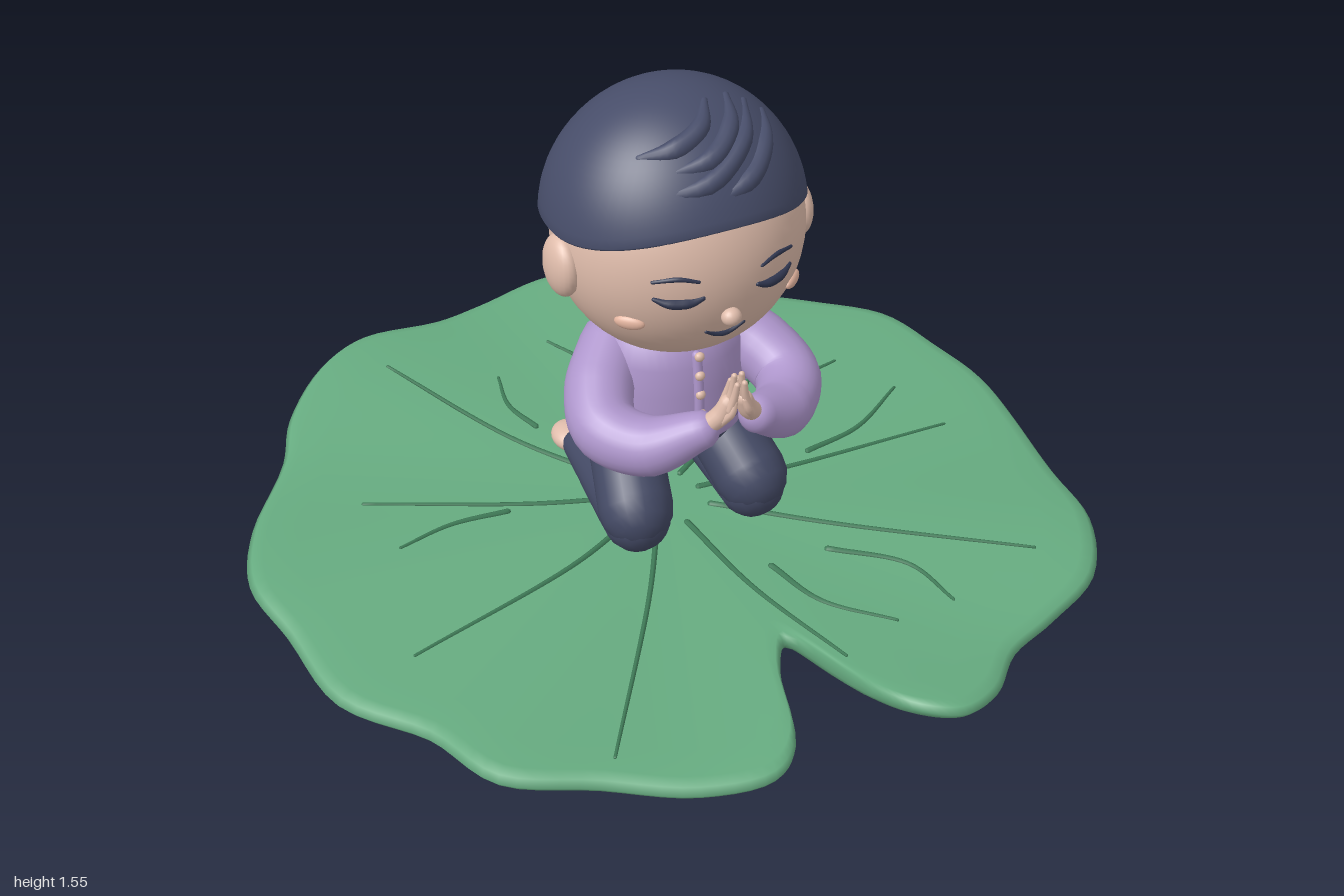
import * as THREE from 'three';
import { mergeVertices } from 'three/addons/utils/BufferGeometryUtils.js';

const V = (a) => new THREE.Vector3(...a);
const { lerp } = THREE.MathUtils;

// Smooth skin over rows of closed loops; at(i, j) gives each corner
function skinRows(rows, cols, at) {
  const pos = [], idx = [];
  for (let i = 0; i < rows; i++) for (let j = 0; j < cols; j++) pos.push(...at(i, j).toArray());
  for (let i = 0; i < rows - 1; i++) for (let j = 0; j < cols; j++) {
    const k = (j + 1) % cols, a = i * cols + j, b = i * cols + k, c = a + cols, d = b + cols;
    idx.push(a, b, c, b, d, c);
  }
  let g = new THREE.BufferGeometry();
  g.setAttribute('position', new THREE.Float32BufferAttribute(pos, 3));
  g.setIndex(idx);
  g = mergeVertices(g, 1e-5);
  g.computeVertexNormals();
  return g;
}

// Round limb along a curve, with varying radius and rounded ends
function limb(points, radii, n = 16, cols = 16) {
  const curve = new THREE.CatmullRomCurve3(points.map(V));
  const f = curve.computeFrenetFrames(n), K = 4, rings = [];
  const radius = (u) => {
    const t = u * (radii.length - 1), i = Math.min(Math.floor(t), radii.length - 2);
    return lerp(radii[i], radii[i + 1], t - i);
  };
  const cap = (i, a, sign) => rings.push({ i, r: radius(i / n) * Math.cos(a), push: sign * radius(i / n) * Math.sin(a) });
  for (let k = 0; k < K; k++) cap(0, Math.PI / 2 * (1 - k / K), -1);
  for (let i = 0; i <= n; i++) cap(i, 0, 1);
  for (let k = 1; k <= K; k++) cap(n, Math.PI / 2 * k / K, 1);
  return skinRows(rings.length, cols, (row, j) => {
    const { i, r, push } = rings[row], a = j / cols * Math.PI * 2;
    return curve.getPointAt(i / n).addScaledVector(f.tangents[i], push)
      .addScaledVector(f.normals[i], r * Math.cos(a)).addScaledVector(f.binormals[i], r * Math.sin(a));
  });
}

function ball(center, radii, seg = 32) {
  return new THREE.SphereGeometry(1, seg, Math.round(seg * 0.7)).scale(...radii).translate(...center);
}

// Height of the leaf's upper face
function leafTop(x, z) {
  const a = Math.atan2(x, z), r = Math.hypot(x, z), s = Math.sin(a);
  const rim = 0.035 - 0.045 * s * s - 0.008 * s + 0.012 * Math.sin(7 * a + 1) - 0.008 * Math.cos(a);
  return 0.412 + rim * r * r;
}

// Front of the head at a given x, y
const HEAD = [0, 1.222, 0.06], HEAD_R = [0.287, 0.29, 0.267];
const faceZ = (x, y) => HEAD[2] + HEAD_R[2] * Math.sqrt(Math.max(0, 1 - (x / HEAD_R[0]) ** 2 - ((y - HEAD[1]) / HEAD_R[1]) ** 2));
const onFace = (pts) => pts.map(([x, y]) => [x, y, faceZ(x, y)]);

export function createModel() {
  const model = new THREE.Group(), figure = new THREE.Group(), leaf = new THREE.Group();
  leaf.name = 'lilyPad';
  figure.name = 'kneelingChild';
  figure.position.x = 0.013;
  model.add(leaf, figure);

  const paint = (name, color) => Object.assign(new THREE.MeshStandardMaterial({ color }), { name });
  const green = paint('leaf green', 0x66ab80), veinGreen = paint('vein green', 0x3f7a57);
  const skin = paint('skin', 0xdfbcab), hairBlue = paint('hair navy', 0x474d69);
  const trouser = paint('trouser navy', 0x434964), lavender = paint('lavender shirt', 0xae96cc);
  const seam = paint('dark lavender', 0x7d6a98), blush = paint('blush', 0xe3b49f), lash = paint('lash navy', 0x30364f);
  const add = (parent, name, geometry, material) => {
    const m = new THREE.Mesh(geometry, material);
    m.name = name;
    parent.add(m);
    return m;
  };

  // Leaf blade: wavy notched outline, domed below, nearly flat above
  const outline = [[0.035, 0.59], [0.125, 0.82], [0.19, 0.92], [0.275, 0.965], [0.375, 0.93], [0.485, 0.83], [0.62, 0.775],
    [0.79, 0.69], [0.91, 0.5], [0.945, 0.295], [0.985, 0.05], [0.99, -0.11], [0.95, -0.27], [0.895, -0.465], [0.75, -0.605],
    [0.59, -0.72], [0.47, -0.855], [0.27, -0.945], [0.085, -0.975], [-0.105, -0.935], [-0.24, -0.905], [-0.45, -0.9],
    [-0.585, -0.83], [-0.72, -0.68], [-0.785, -0.535], [-0.935, -0.305], [-1, -0.11], [-0.97, 0.08], [-0.935, 0.32],
    [-0.8, 0.52], [-0.72, 0.72], [-0.53, 0.82], [-0.345, 0.925], [-0.185, 0.957], [-0.105, 0.89], [-0.025, 0.67]];
  const edge = new THREE.CatmullRomCurve3(outline.map(([x, z]) => V([x, 0, z])), true).getPoints(180).slice(0, 180);
  const steps = [0, 0.15, 0.3, 0.45, 0.6, 0.75, 0.88, 0.96];
  const rows = [...steps.map((s) => [s, 0]), [0.987, 0.15], [1, 0.5], [0.987, 0.87], ...steps.slice().reverse().map((s) => [s, 1])];
  add(leaf, 'leafBlade', skinRows(rows.length, edge.length, (i, j) => {
    const [s, side] = rows[i], x = edge[j].x * s, z = edge[j].z * s, top = leafTop(x, z);
    return V([x, lerp(lerp(0.29, top - 0.042, s * s), top, side), z]);
  }), green);

  // Veins: main ribs from the middle, then short side arcs
  const ribs = [[0.33, 0.03, 0.785, 0.03], [0.1, -0.32, 0.2, -0.845], [-0.24, -0.35, -0.43, -0.745], [-0.29, -0.1, -0.665, -0.275],
    [-0.29, 0.145, -0.735, 0.27], [-0.18, 0.32, -0.47, 0.765], [0.045, 0.4, 0.12, 0.705], [0.32, 0.27, 0.71, 0.56], [0.27, -0.19, 0.555, -0.49]]
    .map(([a, b, c, d]) => [[a * 0.3, b * 0.3], [a, b], [c, d]]);
  const arcs = [[[-0.17, -0.375], [-0.2, -0.48], [-0.18, -0.6]], [[0.065, -0.44], [0.06, -0.56], [0, -0.695]],
    [[0.35, -0.175], [0.49, -0.27], [0.655, -0.31]], [[0.41, -0.005], [0.57, -0.04], [0.74, -0.145]],
    [[-0.36, -0.1], [-0.5, -0.11], [-0.64, -0.08]], [[0.12, 0.35], [0.165, 0.51], [0.29, 0.64]], [[0.27, 0.35], [0.415, 0.48], [0.445, 0.63]]];
  for (const v of [...ribs, ...arcs])
    add(leaf, 'vein', limb(v.map(([x, z]) => [x, leafTop(x, z) + 0.001, z]), [0.008, 0.006, 0.004], 20, 6), veinGreen);

  // Stem with a swollen joint under the leaf
  add(leaf, 'stem', limb([[-0.079, 0.022, -0.022], [-0.05, 0.11, -0.005], [-0.026, 0.2, 0.01], [-0.008, 0.25, 0.018], [0.008, 0.3, 0.025]],
    [0.022, 0.027, 0.031, 0.034, 0.018, 0.04, 0.03], 24), green);

  // Head, nose and mouth
  add(figure, 'head', ball(HEAD, HEAD_R, 48), skin);
  add(figure, 'nose', ball([0, 1.137, 0.325], [0.023, 0.021, 0.021], 20), skin);
  add(figure, 'mouth', limb(onFace([[-0.045, 1.092], [-0.02, 1.078], [0.01, 1.076], [0.045, 1.094]]), [0.004, 0.008, 0.004], 12, 8), lash);

  // Hair cap: dome with an arched hairline and a flared nape
  const hairC = [0, 1.25, 0.035], hairR = [0.299, 0.305, 0.282];
  const N = 20, cols = 72;
  add(figure, 'hair', skinRows(N + 3, cols, (i, j) => {
    const a = j / cols * Math.PI * 2, c = Math.cos(a), s = Math.sin(a);
    const low = 1.277 + (c > 0 ? 0.07 : -0.05) * c * c;
    const t0 = Math.asin((low - hairC[1]) / hairR[1]);
    const t = lerp(t0, Math.PI / 2, Math.max(0, i - 2) / N);
    const k = i === 0 ? 0.82 : i === 1 ? 0.985 : 1;
    const flare = 1 + (c < 0 ? 0.035 * c * c : 0.02 * c) * Math.cos(t) ** 6;
    const y = i < 2 ? low + (i ? -0.006 : 0.005) : hairC[1] + hairR[1] * Math.sin(t);
    return V([hairR[0] * Math.cos(t) * s * k * flare, y, hairC[2] + hairR[2] * Math.cos(t) * c * k * flare]);
  }), hairBlue);

  // Swept locks across the fringe
  const hairZ = (x, y) => hairC[2] + hairR[2] * Math.sqrt(Math.max(0, 1 - (x / hairR[0]) ** 2 - ((y - hairC[1]) / hairR[1]) ** 2));
  const locks = [[[-0.14, 1.41], [-0.02, 1.43], [0.09, 1.48], [0.14, 1.51]], [[-0.1, 1.45], [0, 1.47], [0.07, 1.505], [0.1, 1.53]],
    [[-0.03, 1.39], [0.08, 1.42], [0.15, 1.46], [0.18, 1.48]], [[-0.14, 1.475], [-0.07, 1.49], [0.0, 1.515], [0.04, 1.54]]];
  for (const l of locks)
    add(figure, 'hairLock', limb(l.map(([x, y]) => [x, y, hairZ(x, y) - 0.012]), [0.008, 0.024, 0.022, 0.008], 16, 12), hairBlue);

  // Shirt body and collar
  const shirt = [[0, 0.69], [0.9, 0.685], [1, 0.695], [1, 0.74], [0.97, 0.83], [0.93, 0.9], [0.82, 0.955], [0.6, 0.985], [0, 0.99]];
  add(figure, 'shirt', new THREE.LatheGeometry(shirt.map((p) => new THREE.Vector2(...p)), 48).scale(0.188, 1, 0.17).translate(0, 0, 0.01), lavender);
  const collar = new THREE.TorusGeometry(0.125, 0.022, 10, 36).rotateX(Math.PI / 2).translate(0, 0.965, 0.015);
  add(figure, 'collar', collar, lavender);
  add(figure, 'placket', limb([[0, 0.7, 0.181], [0, 0.83, 0.176], [0, 0.93, 0.162]], [0.012, 0.012], 10, 10), lavender);
  for (let i = 0; i < 5; i++) add(figure, 'button', ball([0, 0.735 + i * 0.05, 0.192 - i * 0.004], [0.012, 0.012, 0.01], 12), skin);

  // Hips
  add(figure, 'hips', ball([0, 0.672, -0.015], [0.183, 0.082, 0.168]), trouser);

  for (const s of [1, -1]) {
    const side = new THREE.Group();
    side.name = s > 0 ? 'leftSide' : 'rightSide';
    figure.add(side);
    const m = (pts) => pts.map(([x, y, z]) => [x * s, y, z]);

    // Ear, closed eye, brow and cheek
    add(side, 'ear', ball([0.285 * s, 1.2, 0.072], [0.036, 0.073, 0.064], 24), skin);
    add(side, 'closedEye', limb(onFace([[0.065 * s, 1.199], [0.09 * s, 1.19], [0.135 * s, 1.19], [0.162 * s, 1.2]]), [0.005, 0.012, 0.012, 0.005], 14, 10), lash);
    add(side, 'eyebrow', limb(onFace([[0.075 * s, 1.242], [0.115 * s, 1.251], [0.165 * s, 1.243]]), [0.004, 0.006, 0.004], 12, 8), lash);
    const cheek = add(side, 'cheek', ball([0, 0, 0], [0.035, 0.017, 0.013], 20), blush);
    cheek.position.set(0.197 * s, 1.122, faceZ(0.197, 1.122));
    cheek.rotation.y = 0.75 * s;

    // Sleeve, bent forward to the chest
    add(side, 'sleeve', limb(m([[0.135, 0.895, -0.005], [0.205, 0.845, 0.08], [0.23, 0.808, 0.17], [0.17, 0.8, 0.26], [0.072, 0.855, 0.325]]),
      [0.075, 0.08, 0.077, 0.069, 0.045], 28, 24), lavender);

    // Hand: palm, fingers and thumb pressed together in prayer
    add(side, 'palm', limb(m([[0.062, 0.868, 0.333], [0.034, 0.9, 0.348], [0.02, 0.935, 0.355]]), [0.022, 0.023, 0.019], 10), skin);
    [[0.338, 0.985], [0.354, 1.007], [0.369, 0.992]].forEach(([z, y]) =>
      add(side, 'finger', limb(m([[0.022, 0.925, z], [0.013, 0.96, z + 0.004], [0.009, y, z + 0.008]]), [0.011, 0.009, 0.007], 8, 8), skin));
    add(side, 'thumb', limb(m([[0.036, 0.89, 0.36], [0.02, 0.92, 0.375], [0.012, 0.945, 0.374]]), [0.01, 0.01, 0.007], 8, 8), skin);

    // Pocket with a dark flap line
    [0.775, 0.725].forEach((y) => add(side, 'pocketSeam', limb(m([[0.045, y, 0.174], [0.075, y, 0.167], [0.11, y, 0.148]]),
      [0.005, 0.005], 8, 6), seam));

    // Folded leg and bare foot
    add(side, 'thigh', limb(m([[0.095, 0.665, -0.07], [0.125, 0.61, 0.05], [0.15, 0.535, 0.155]]), [0.095, 0.086, 0.088], 18, 24), trouser);
    add(side, 'shin', limb(m([[0.15, 0.51, 0.16], [0.148, 0.487, 0.05], [0.142, 0.474, -0.1], [0.138, 0.465, -0.21]]),
      [0.08, 0.062, 0.05, 0.038], 18, 20), trouser);
    add(side, 'foot', ball([0.138 * s, 0.462, -0.255], [0.047, 0.03, 0.058], 24), skin);
  }
  return model;
}
